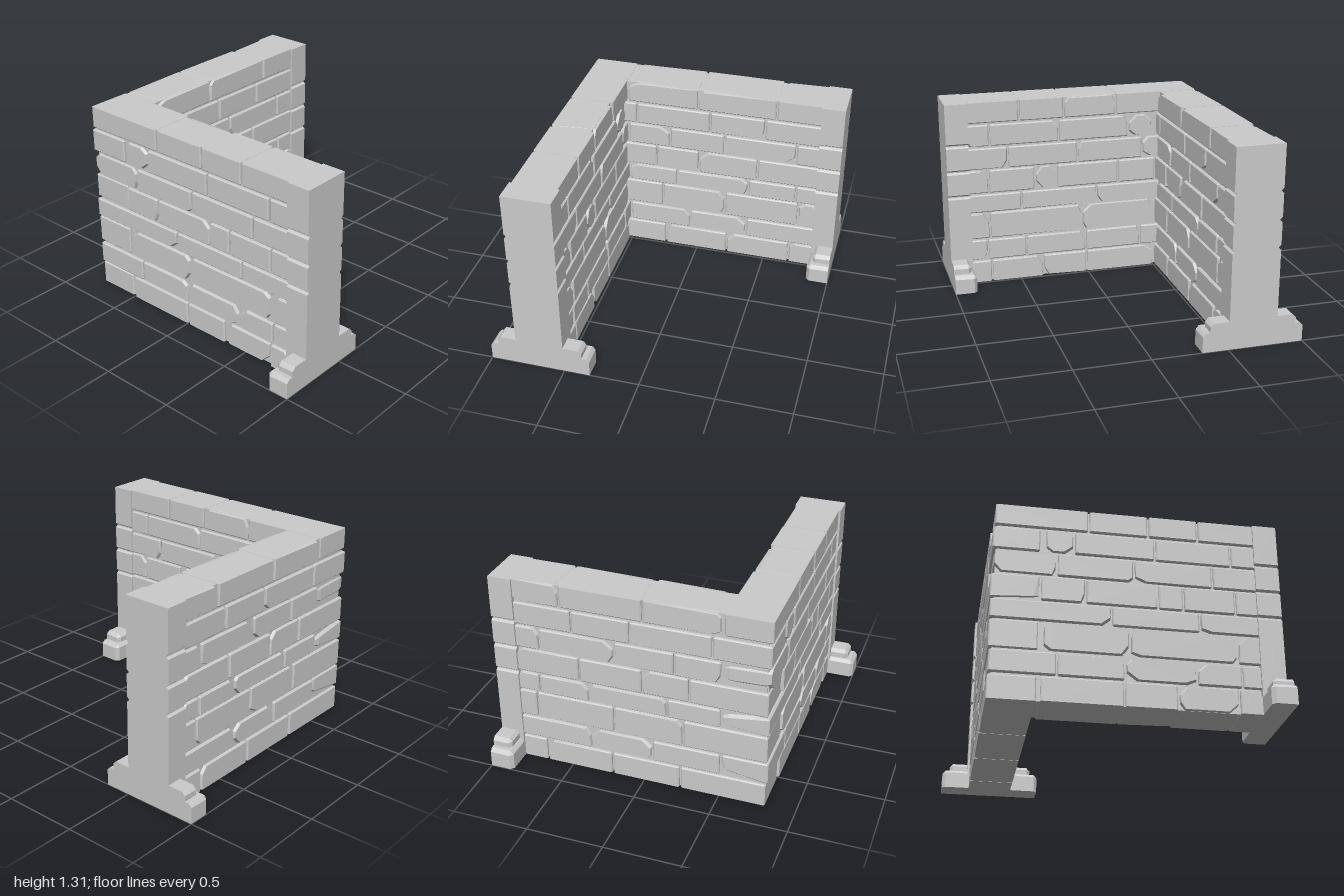
import * as THREE from 'three';
import { ConvexGeometry } from 'three/addons/geometries/ConvexGeometry.js';

const HEIGHT = 1.31, HALF = 0.147, PILLAR = 0.845;

// Bottom and top of each course of stones
const COURSES = [[0, 0.155], [0.168, 0.312], [0.328, 0.512], [0.522, 0.648],
  [0.662, 0.825], [0.836, 0.985], [1.0, 1.15], [1.166, HEIGHT]];

// Joint positions along each arm; the two arms interlock at the corner
const FRONT_JOINTS = [
  [-0.5, 0.005, 0.33, 0.705], [-0.805, -0.4, 0.01, 0.45, 0.73], [-0.49, 0.04, 0.71],
  [-0.81, -0.07, 0.48], [-0.51, -0.23, 0.22, 0.38, 0.71], [-0.8, -0.41, 0.07, 0.57],
  [-0.485, -0.305, 0.205, 0.695], [-0.8, -0.215, 0.165, 0.485]];
const SIDE_JOINTS = [
  [-0.8, -0.24, 0.22, 0.68], [-0.505, -0.055, 0.36], [-0.805, -0.26, 0.2, 0.73],
  [-0.505, -0.155, 0.365, 0.705], [-0.8, -0.3, 0.005, 0.425], [-0.505, -0.205, 0.185, 0.69],
  [-0.81, -0.445, 0.08, 0.465], [-0.505, -0.005, 0.54]];

// Heavily worn stones, as course:index
const FRONT_WORN = ['2:0', '2:1', '6:0', '5:0', '1:2'];
const SIDE_WORN = ['2:1', '5:2', '1:1', '3:1'];

let seed = 11;
function rnd() {
  seed = (seed * 16807) % 2147483647;
  return seed / 2147483647;
}

const material = new THREE.MeshStandardMaterial({ color: 0xcccccc, flatShading: true });

function addMesh(parent, name, geometry) {
  const mesh = new THREE.Mesh(geometry, material);
  mesh.name = name;
  parent.add(mesh);
  return mesh;
}

// Convex stone with fine bevels and some broken corners
function stone([x0, x1], [y0, y1], [z0, z1], chipChance) {
  const pts = [];
  const bevel = 0.007;
  for (const sx of [-1, 1]) for (const sy of [-1, 1]) for (const sz of [-1, 1]) {
    const x = sx > 0 ? x1 : x0, y = sy > 0 ? y1 : y0, z = sz > 0 ? z1 : z0;
    const flush = y === 0 || y === HEIGHT;
    const put = (dx, dy, dz) => pts.push(new THREE.Vector3(x - sx * dx, y - sy * dy, z - sz * dz));
    if (rnd() < chipChance) {
      const a = Math.min(0.025 + 0.05 * rnd(), (x1 - x0) * 0.35);
      const c = Math.min(0.025 + 0.045 * rnd(), (y1 - y0) * 0.4);
      const d = 0.015 + 0.025 * rnd();
      put(a, bevel, 0);
      put(bevel, c, 0);
      put(a * 0.8, 0, d);
      put(0, c * 0.8, d);
    } else {
      const by = flush ? 0 : bevel;
      put(bevel, by, 0);
      put(0, by, bevel);
      put(bevel, 0, flush ? 0 : bevel);
    }
  }
  return new ConvexGeometry(pts);
}

// Pillar outline with notches on both edges, pushed along the arm
function pillarGeometry() {
  const w = 0.16, edge = [[w, 0]];
  for (const y of [0.65, 0.83, 1.016]) edge.push([w, y - 0.016], [w - 0.015, y - 0.004], [w - 0.015, y + 0.004], [w, y + 0.016]);
  edge.push([w, HEIGHT]);
  const left = edge.map(([x, y]) => [-x, y]).reverse();
  const shape = new THREE.Shape([...edge, ...left].map(([x, y]) => new THREE.Vector2(x, y)));
  const geometry = new THREE.ExtrudeGeometry(shape, { depth: 1 - PILLAR, bevelEnabled: false });
  return geometry.rotateY(Math.PI / 2).translate(PILLAR, 0, 0);
}

// Foot block: flat against the end face, bevelled on the exposed top, tip and inner edges
function footGeometry(length, height, inner, side) {
  const pts = [];
  const b = 0.022;
  const add = (x, y, z) => pts.push(new THREE.Vector3(x, y, z * side));
  for (const x of [inner, 1]) {
    const inset = x === inner ? b : 0;
    add(x, 0, 0.1);
    add(x, 0, length - inset);
    add(x, height - inset, 0.1);
    add(x, height - b, length - inset);
    add(x + inset, height, 0.1);
    add(x + inset, height, length - b);
    add(x + inset, 0, length);
    add(x + inset, height - b * 1.2, length);
  }
  return new ConvexGeometry(pts);
}

// One arm of the wall, running along local x with its end pillar at +x
function buildArm(name, joints, worn, coreStart) {
  const arm = new THREE.Group();
  arm.name = name;

  // Recessed mortar core
  const coreLength = PILLAR + 0.02 - coreStart;
  const core = addMesh(arm, 'mortarCore', new THREE.BoxGeometry(coreLength, HEIGHT - 0.003, 2 * HALF - 0.04));
  core.position.set(coreStart + coreLength / 2, HEIGHT / 2, 0);

  // Stones reach through the full thickness
  COURSES.forEach((course, row) => {
    joints[row].forEach((start, i) => {
      const last = i === joints[row].length - 1;
      const end = last ? PILLAR + 0.03 : joints[row][i + 1] - 0.006;
      const from = start + (i === 0 && start < -0.7 ? 0 : 0.006);
      const out = HALF + 0.004 * (rnd() - 0.5);
      const chance = worn.includes(row + ':' + i) ? 0.85 : 0.16;
      addMesh(arm, 'stone', stone([from, end], course, [-out, out], chance));
    });
  });

  // End pillar with a stepped foot on each side
  addMesh(arm, 'endPillar', pillarGeometry());
  for (const side of [-1, 1]) {
    addMesh(arm, 'lowerFoot', footGeometry(0.335, 0.13, PILLAR, side));
    addMesh(arm, 'upperFoot', footGeometry(0.285, 0.19, PILLAR + 0.03, side));
  }
  return arm;
}

export function createModel() {
  const model = new THREE.Group();
  model.name = 'cornerWall';

  const front = buildArm('frontWall', FRONT_JOINTS, FRONT_WORN, -0.785);
  front.position.z = 0.664;
  model.add(front);

  const side = buildArm('sideWall', SIDE_JOINTS, SIDE_WORN, -0.785);
  side.rotation.y = Math.PI / 2;
  side.position.x = -0.664;
  model.add(side);

  return model;
}
